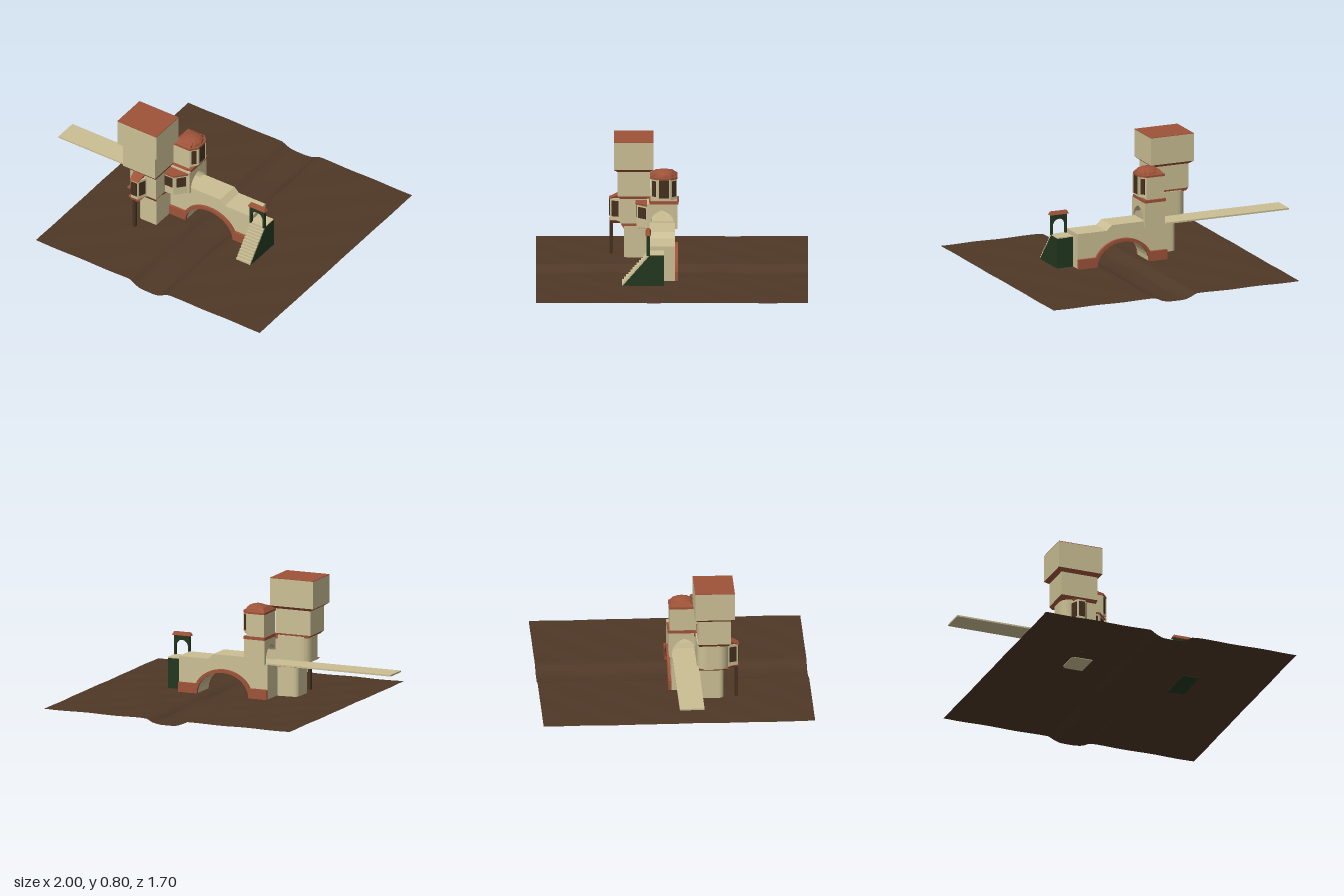
import * as THREE from 'three';

const mat = (color) => new THREE.MeshStandardMaterial({ color, flatShading: true, side: THREE.DoubleSide });
const cream = mat(0xcbbf94), red = mat(0x9e5339), green = mat(0x22371f), brown = mat(0x4f3827), dark = mat(0x45301f);

export function createModel() {
  const model = new THREE.Group();
  const add = (name, geo, material) => {
    const mesh = new THREE.Mesh(geo, material);
    mesh.name = name;
    model.add(mesh);
    return mesh;
  };
  // box given by its limits
  const block = (name, m, x0, x1, y0, y1, z0, z1) =>
    add(name, new THREE.BoxGeometry(x1 - x0, y1 - y0, z1 - z0).translate((x0 + x1) / 2, (y0 + y1) / 2, (z0 + z1) / 2), m);
  // tapered block from rectangle a at y0 to rectangle b at y1, each [x0, x1, z0, z1]
  const taper = (name, m, a, y0, b, y1) => {
    const geo = new THREE.BoxGeometry(1, 1, 1), p = geo.attributes.position;
    for (let i = 0; i < p.count; i++) {
      const r = p.getY(i) < 0 ? a : b;
      p.setXYZ(i, r[p.getX(i) < 0 ? 0 : 1], p.getY(i) < 0 ? y0 : y1, r[p.getZ(i) < 0 ? 2 : 3]);
    }
    geo.computeVertexNormals();
    return add(name, geo, m);
  };
  const poly = (pts) => new THREE.Shape(pts.map(([x, y]) => new THREE.Vector2(x, y)));
  const extrude = (shape, depth) => new THREE.ExtrudeGeometry(shape, { depth, bevelEnabled: false, curveSegments: 10 });
  // upright prism from a plan of [x, z] points
  const prism = (name, m, plan, y0, y1) =>
    add(name, extrude(poly(plan.map(([x, z]) => [x, -z])), y1 - y0).rotateX(-Math.PI / 2).translate(0, y0, 0), m);
  // profile of [z, y] points swept along x
  const sweepX = (name, m, shape, x0, x1) =>
    add(name, extrude(shape, x1 - x0).rotateY(-Math.PI / 2).translate(x1, 0, 0), m);
  const windowPane = (x, y, z, w, h, angle = 0) => {
    const pane = add('window', new THREE.BoxGeometry(w, h, 0.008), dark);
    pane.position.set(x, y, z);
    pane.rotation.y = angle;
  };

  // ground sheet with a stream bed running along z
  const bed = [[-0.69, 0], [0.02, 0], [0.06, 0.024], [0.1, 0.036], [0.2, 0.036], [0.25, 0.028], [0.29, 0.004], [0.33, 0], [1.01, 0]];
  const depthAt = (x) => {
    const i = Math.max(1, bed.findIndex(([bx]) => bx >= x));
    const [ax, ad] = bed[i - 1], [bx, bd] = bed[i];
    return ad + (bd - ad) * (x - ax) / (bx - ax);
  };
  const ground = new THREE.PlaneGeometry(1.69, 1.7, 84, 40).rotateX(-Math.PI / 2).translate(0.155, 0, 0);
  const gp = ground.attributes.position;
  for (let i = 0; i < gp.count; i++) {
    const x = gp.getX(i), z = gp.getZ(i);
    gp.setY(i, 0.048 - depthAt(x) * (1 + 0.15 * Math.sin(z * 9)) + 0.0015 * Math.sin(x * 17 + z * 5) * Math.sin(z * 13));
  }
  ground.computeVertexNormals();
  add('ground', ground, brown);

  // arched bridge
  const archPoints = (rx, ry, a0 = 0) => Array.from({ length: 17 }, (_, i) => {
    const a = a0 + (Math.PI - 2 * a0) * i / 16;
    return [0.148 + rx * Math.cos(a), 0.05 + ry * Math.sin(a)];
  });
  const bridge = poly([[-0.155, 0.05], ...archPoints(0.178, 0.147).reverse(), [0.455, 0.05], [0.455, 0.275],
    [0.255, 0.275], [0.22, 0.308], [-0.01, 0.308], [-0.02, 0.275], [-0.155, 0.275]]);
  add('bridge', extrude(bridge, 0.16).translate(0, 0, -0.02), cream);
  const trim = poly([[-0.155, 0.05], ...archPoints(0.178, 0.147).reverse(), [0.455, 0.05], [0.455, 0.112],
    ...archPoints(0.2, 0.168, 0.38), [-0.155, 0.112]]);
  for (const z of [-0.038, 0.14]) add('archTrim', extrude(trim, 0.018).translate(0, 0, z), red);
  block('walkway', cream, -1, -0.15, 0.27, 0.28, -0.015, 0.14);

  // staircase with landing
  sweepX('stairBase', green, poly([[0.05, 0.045], [0.31, 0.045], [0.14, 0.242], [0.05, 0.242]]), 0.455, 0.565);
  block('landing', cream, 0.456, 0.564, 0.24, 0.247, 0.05, 0.145);
  const steps = 13;
  for (let i = 0; i < steps; i++) {
    const y = 0.05 + 0.197 * i / steps, z = 0.312 - 0.17 * i / steps;
    block('step', cream, 0.458, 0.562, y, y + 0.197 / steps, z - 0.02, z);
  }
  // small gate over the stairs
  const gate = poly([[0.455, 0.24], [0.467, 0.24], [0.467, 0.3]]);
  gate.absarc(0.51, 0.3, 0.043, Math.PI, 0, true);
  gate.lineTo(0.553, 0.24);
  gate.lineTo(0.565, 0.24);
  gate.lineTo(0.565, 0.375);
  gate.lineTo(0.455, 0.375);
  add('stairGate', extrude(gate, 0.02).translate(0, 0, 0.138), green);
  taper('gateCap', red, [0.445, 0.575, 0.13, 0.166], 0.372, [0.455, 0.565, 0.138, 0.158], 0.392);

  // tower base and rounded second storey
  const roundedPlan = (x0, x1, z0, z1, r) => {
    const pts = [[x1, z0], [x1, z1]];
    for (let i = 0; i <= 6; i++) pts.push([x0 + r - r * Math.sin(i * Math.PI / 12), z1 - r + r * Math.cos(i * Math.PI / 12)]);
    for (let i = 0; i <= 6; i++) pts.push([x0 + r - r * Math.cos(i * Math.PI / 12), z0 + r - r * Math.sin(i * Math.PI / 12)]);
    return pts;
  };
  prism('towerBase', cream, roundedPlan(-0.29, -0.153, 0.13, 0.3, 0.03), 0.045, 0.25);
  taper('baseFlare', red, [-0.29, -0.153, 0.13, 0.302], 0.235, [-0.36, -0.153, 0.13, 0.325], 0.272);
  prism('secondStorey', cream, roundedPlan(-0.362, -0.14, 0.13, 0.325, 0.06), 0.27, 0.435);

  // upper storeys with flared red courses
  const third = [-0.378, -0.135, 0.137, 0.34], top = [-0.405, -0.11, 0.115, 0.363];
  taper('lowerCourse', red, [-0.36, -0.14, 0.14, 0.325], 0.427, third, 0.446);
  taper('thirdStorey', cream, third, 0.446, third, 0.605);
  taper('upperCourse', red, third, 0.603, top, 0.622);
  taper('topStorey', cream, top, 0.622, top, 0.798);
  block('towerRoof', red, -0.405, -0.11, 0.797, 0.801, 0.115, 0.363);

  // front bay on its post
  prism('frontBay', cream, [[-0.31, 0.32], [-0.285, 0.388], [-0.235, 0.388], [-0.21, 0.32]], 0.265, 0.41);
  taper('bayRoof', red, [-0.29, -0.23, 0.32, 0.395], 0.408, [-0.3, -0.22, 0.32, 0.335], 0.435);
  taper('bayFoot', red, [-0.275, -0.245, 0.32, 0.385], 0.245, [-0.305, -0.215, 0.32, 0.39], 0.27);
  windowPane(-0.26, 0.345, 0.389, 0.04, 0.1);
  windowPane(-0.298, 0.345, 0.355, 0.045, 0.1, -1.22);
  windowPane(-0.222, 0.345, 0.355, 0.045, 0.1, 1.22);
  block('bayPost', dark, -0.27, -0.25, 0.045, 0.255, 0.37, 0.39);

  // corner oriel between tower and gatehouse
  prism('cornerOriel', cream, [[-0.155, 0.13], [-0.155, 0.222], [-0.075, 0.222], [-0.012, 0.15], [-0.012, 0.13]], 0.27, 0.415);
  taper('orielRoof', red, [-0.155, -0.005, 0.12, 0.152], 0.412, [-0.155, -0.03, 0.12, 0.14], 0.445);
  prism('orielEave', red, [[-0.155, 0.13], [-0.155, 0.228], [-0.072, 0.228], [-0.005, 0.152], [-0.005, 0.13]], 0.41, 0.422);
  windowPane(-0.115, 0.362, 0.222, 0.06, 0.07);
  windowPane(-0.043, 0.362, 0.186, 0.06, 0.07, 0.85);

  // gatehouse with a pointed passage
  const passage = poly([[-0.035, 0.27], [-0.015, 0.27], [-0.015, 0.3]]);
  passage.quadraticCurveTo(-0.01, 0.365, 0.063, 0.39);
  passage.quadraticCurveTo(0.136, 0.365, 0.141, 0.3);
  passage.lineTo(0.141, 0.27);
  passage.lineTo(0.155, 0.27);
  passage.lineTo(0.155, 0.432);
  passage.lineTo(-0.035, 0.432);
  sweepX('gatehouse', cream, passage, -0.14, 0);
  block('gatehouseEave', red, -0.143, 0.002, 0.428, 0.446, -0.042, 0.14);

  // turret with faceted front and dome
  const plan = (s) => [[-0.135, -0.03], [-0.015, -0.03], [0.02, 0.01], [0.02, 0.09], [-0.015, 0.133], [-0.135, 0.133]]
    .map(([x, z]) => [-0.06 + (x + 0.06) * s, 0.05 + (z - 0.05) * s]);
  prism('turret', cream, plan(1), 0.46, 0.595);
  block('turretFoot', cream, -0.135, -0.015, 0.44, 0.47, -0.03, 0.133);
  prism('turretEave', red, plan(1.06), 0.59, 0.603);
  windowPane(0.02, 0.53, 0.05, 0.075, 0.115, Math.PI / 2);
  for (const z of [0.013, 0.087]) block('windowPillar', cream, 0.014, 0.026, 0.468, 0.592, z - 0.005, z + 0.005);
  windowPane(0.003, 0.53, 0.112, 0.03, 0.1, 0.88);
  windowPane(0.003, 0.53, -0.01, 0.03, 0.1, Math.PI - 0.88);
  taper('domeBase', red, [-0.138, -0.012, -0.033, 0.136], 0.6, [-0.115, -0.015, 0, 0.1], 0.628);
  add('dome', new THREE.SphereGeometry(1, 10, 4, 0, Math.PI * 2, 0, Math.PI / 2).scale(0.077, 0.044, 0.08).translate(-0.055, 0.6, 0.05), red);

  return model;
}
